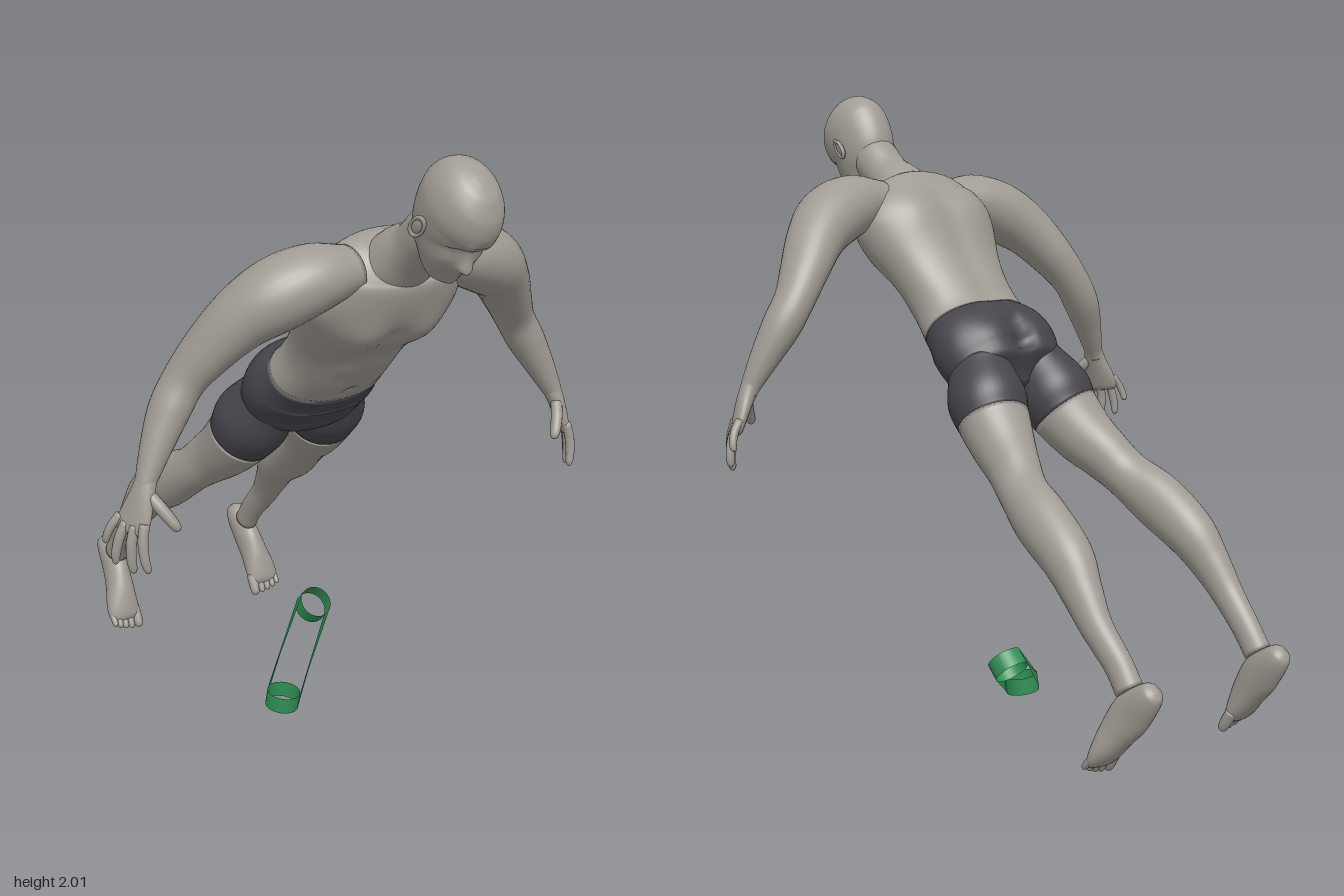
import * as THREE from 'three';

const mat = (name, color, side = THREE.FrontSide) => {
  const m = new THREE.MeshStandardMaterial({ color, side });
  m.name = name;
  return m;
};
const V = (x, y, z) => new THREE.Vector3(x, y, z);

// Smooth skin over oval sections: each key is [x, y, z, half width, half depth].
// from/to pick a stretch of the curve; bumps are [x, y, z, radius, dx, dy, dz], mirrored in x.
function loft(name, keys, material, { from = 0, to = 1, seg = 36, rad = 32, ref = V(1, 0, 0), pow = 1, bumps = [] } = {}) {
  const path = new THREE.CatmullRomCurve3(keys.map(k => V(k[0], k[1], k[2])), false, 'catmullrom', 0.5);
  const size = new THREE.SplineCurve(keys.map(k => new THREE.Vector2(k[3], k[4])));
  const all = bumps.flatMap(b => b[0] ? [b, [-b[0], b[1], b[2], b[3], -b[4], b[5], b[6]]] : [b]);
  const pos = [], idx = [];
  const se = v => Math.sign(v) * Math.pow(Math.abs(v), pow);
  const put = p => {
    const q = p.clone();
    for (const b of all) {
      const d = (p.x - b[0]) ** 2 + (p.y - b[1]) ** 2 + (p.z - b[2]) ** 2;
      q.addScaledVector(V(b[4], b[5], b[6]), Math.exp(-d / (b[3] * b[3])));
    }
    pos.push(q.x, q.y, q.z);
  };
  for (let j = 0; j <= seg; j++) {
    const t = from + (to - from) * j / seg;
    const c = path.getPoint(t), tan = path.getTangent(t), r = size.getPoint(t);
    const side = ref.clone().addScaledVector(tan, -ref.dot(tan)).normalize();
    const nor = side.clone().cross(tan);
    for (let i = 0; i < rad; i++) {
      const a = i / rad * Math.PI * 2;
      put(c.clone().addScaledVector(side, r.x * se(Math.cos(a))).addScaledVector(nor, r.y * se(Math.sin(a))));
    }
  }
  for (let j = 0; j < seg; j++) for (let i = 0; i < rad; i++) {
    const a = j * rad + i, b = j * rad + (i + 1) % rad;
    idx.push(a, a + rad, b, b, a + rad, b + rad);
  }
  // end caps
  const n = (seg + 1) * rad;
  put(path.getPoint(from));
  put(path.getPoint(to));
  for (let i = 0; i < rad; i++) {
    const k = (i + 1) % rad;
    idx.push(n, i, k, n + 1, seg * rad + k, seg * rad + i);
  }
  const g = new THREE.BufferGeometry();
  g.setAttribute('position', new THREE.Float32BufferAttribute(pos, 3));
  g.setIndex(idx);
  g.computeVertexNormals();
  const mesh = new THREE.Mesh(g, material);
  mesh.name = name;
  return mesh;
}

// Finger or toe: a bent tapered rod with a rounded tip
function digit(name, a, b, r, material, bend = V(0, 0, 0)) {
  const p = t => V(...a).lerp(V(...b), t).addScaledVector(bend, Math.sin(t * Math.PI));
  const keys = [[0, 1], [0.35, 1], [0.7, 0.92], [0.9, 0.75], [0.98, 0.4], [1, 0.08]].map(([t, s]) => [...p(t).toArray(), r * s, r * s]);
  return loft(name, keys, material, { seg: 18, rad: 12, ref: V(0.6, 0, -0.8) });
}

export function createModel() {
  const model = new THREE.Group();
  model.name = 'leaningFigure';
  const skin = mat('skin grey', 0xa09b93);
  const cloth = mat('shorts charcoal', 0x47454c);
  const green = mat('band green', 0x2f8f55, THREE.DoubleSide);

  // Torso, built upright and then leaned forward
  const trunk = new THREE.Group();
  trunk.name = 'trunk';
  trunk.position.y = 1.1;
  trunk.rotation.x = 0.7217;
  model.add(trunk);
  const torso = [
    [0, -0.06, 0, 0.05, 0.04], [0, 0, 0.005, 0.19, 0.12], [0, 0.06, 0.003, 0.228, 0.128],
    [0, 0.137, 0.003, 0.23, 0.136], [0, 0.22, 0.025, 0.205, 0.118], [0, 0.32, 0.03, 0.19, 0.122],
    [0, 0.437, 0.026, 0.208, 0.122], [0, 0.57, 0.022, 0.25, 0.143], [0, 0.65, 0.018, 0.265, 0.143],
    [0, 0.72, 0.01, 0.24, 0.132], [0, 0.77, 0, 0.19, 0.108], [0, 0.81, 0, 0.1, 0.07]];
  const bumps = [
    [0.11, 0.6, 0.15, 0.08, 0, 0, 0.024], [0, 0.6, 0.165, 0.035, 0, 0, -0.012],
    [0, 0.27, 0.145, 0.016, 0, 0, -0.012], [0.06, 0.4, 0.14, 0.045, 0, 0, 0.008],
    [0.06, 0.3, 0.14, 0.045, 0, 0, 0.006], [0.13, 0.62, -0.12, 0.08, 0, 0, -0.014],
    [0.1, 0.07, -0.12, 0.08, 0, 0, -0.018], [0, 0.05, -0.13, 0.035, 0, 0, 0.035], [0, 0.12, -0.13, 0.03, 0, 0, 0.022]];
  for (let s = 0.25; s < 0.7; s += 0.06) bumps.push([0, s, -0.11, 0.04, 0, 0, 0.009]);
  const waist = 4 / 11;
  trunk.add(loft('torso', torso, skin, { from: waist, seg: 60, rad: 64, pow: 0.9, bumps }));
  trunk.add(loft('shortsHips', torso, cloth, { to: waist, seg: 36, rad: 64, pow: 0.9, bumps }));

  // Neck
  model.add(loft('neck', [
    [0, 1.6, 0.46, 0.15, 0.1], [0, 1.69, 0.56, 0.105, 0.09], [0, 1.735, 0.63, 0.082, 0.077],
    [0, 1.79, 0.7, 0.08, 0.08], [0, 1.85, 0.77, 0.07, 0.07]], skin));

  // Head, tipped forward, with a sculpted face
  const head = new THREE.Group();
  head.name = 'head';
  head.position.set(0, 1.85, 0.805);
  head.rotation.x = Math.PI / 4;
  model.add(head);
  head.add(loft('skull', [
    [0, -0.178, 0.085, 0.006, 0.006], [0, -0.168, 0.08, 0.04, 0.04], [0, -0.135, 0.058, 0.068, 0.07],
    [0, -0.095, 0.035, 0.086, 0.092], [0, -0.05, 0.003, 0.098, 0.122], [0, 0, -0.012, 0.105, 0.135],
    [0, 0.05, -0.016, 0.105, 0.138], [0, 0.1, -0.018, 0.088, 0.115], [0, 0.135, -0.018, 0.056, 0.072],
    [0, 0.149, -0.018, 0.02, 0.026], [0, 0.151, -0.018, 0.003, 0.004]], skin, {
    seg: 80, rad: 80, bumps: [
      [0, -0.062, 0.128, 0.02, 0, -0.004, 0.038], [0, -0.03, 0.128, 0.017, 0, 0, 0.018], [0.016, -0.066, 0.125, 0.011, 0.004, 0, 0.012],
      [0.04, -0.012, 0.115, 0.02, 0, 0, -0.014], [0.038, -0.012, 0.11, 0.011, 0, 0, 0.009],
      [0.035, 0.018, 0.115, 0.022, 0, 0, 0.007], [0, -0.1, 0.13, 0.018, 0, 0, 0.011],
      [0, -0.118, 0.13, 0.014, 0, 0, 0.007], [0, -0.15, 0.125, 0.024, 0, 0, 0.01], [0.06, -0.05, 0.09, 0.03, 0.004, 0, 0.004]]
  }));
  for (const s of [1, -1]) {
    const ear = new THREE.Group();
    ear.name = s > 0 ? 'leftEar' : 'rightEar';
    const lobe = new THREE.Mesh(new THREE.SphereGeometry(1, 20, 14), skin);
    lobe.name = 'earBody';
    lobe.scale.set(0.01, 0.034, 0.022);
    const rim = new THREE.Mesh(new THREE.TorusGeometry(0.024, 0.006, 8, 24), skin);
    rim.name = 'earRim';
    rim.rotation.y = Math.PI / 2;
    rim.scale.set(0.85, 1.4, 1);
    rim.position.x = s * 0.006;
    ear.add(lobe, rim);
    ear.position.set(s * 0.105, -0.04, -0.012);
    ear.rotation.y = s * -0.3;
    head.add(ear);
  }

  // Limbs, mirrored
  for (const s of [1, -1]) {
    const label = s > 0 ? 'left' : 'right';
    const flip = keys => keys.map(([x, ...rest]) => [s * x, ...rest]);
    const pt = (x, y, z) => [s * x, y, z];

    model.add(loft(label + 'Arm', flip([
      [0.14, 1.655, 0.49, 0.09, 0.07], [0.26, 1.645, 0.49, 0.112, 0.098], [0.37, 1.605, 0.465, 0.115, 0.105],
      [0.46, 1.54, 0.42, 0.1, 0.09], [0.54, 1.445, 0.37, 0.085, 0.073], [0.6, 1.36, 0.34, 0.07, 0.062],
      [0.65, 1.28, 0.34, 0.066, 0.06], [0.7, 1.19, 0.355, 0.05, 0.048], [0.745, 1.1, 0.372, 0.034, 0.032],
      [0.757, 1.07, 0.376, 0.032, 0.026]]), skin, { seg: 54, ref: V(0, 0, 1) }));

    // Hand
    const hand = new THREE.Group();
    hand.name = label + 'Hand';
    hand.add(loft('palm', flip([
      [0.738, 1.12, 0.37, 0.03, 0.03], [0.762, 1.06, 0.378, 0.04, 0.027], [0.785, 1.0, 0.378, 0.054, 0.022],
      [0.8, 0.96, 0.376, 0.056, 0.017], [0.804, 0.945, 0.376, 0.04, 0.009]]), skin, { ref: V(s * 0.4, 0.1, -0.9), seg: 24 }));
    const out = V(s * 0.012, 0, 0);
    hand.add(
      digit('indexFinger', pt(0.778, 0.985, 0.417), pt(0.78, 0.84, 0.44), 0.0155, skin, out),
      digit('middleFinger', pt(0.795, 0.975, 0.39), pt(0.805, 0.83, 0.395), 0.016, skin, out),
      digit('ringFinger', pt(0.808, 0.98, 0.362), pt(0.84, 0.85, 0.35), 0.015, skin, out),
      digit('littleFinger', pt(0.815, 0.995, 0.337), pt(0.852, 0.905, 0.312), 0.013, skin, out),
      digit('thumb', pt(0.75, 1.06, 0.395), pt(0.69, 0.96, 0.46), 0.019, skin, V(0, 0, 0.008)));
    model.add(hand);

    // Leg: covered thigh above, bare below
    const leg = flip([
      [0.115, 1.13, 0.02, 0.1, 0.105], [0.142, 1.04, -0.05, 0.127, 0.125], [0.155, 0.975, -0.1, 0.118, 0.112],
      [0.175, 0.905, -0.17, 0.1, 0.1], [0.198, 0.85, -0.24, 0.083, 0.088], [0.225, 0.79, -0.315, 0.078, 0.078],
      [0.25, 0.72, -0.425, 0.08, 0.092], [0.265, 0.635, -0.55, 0.076, 0.083], [0.278, 0.55, -0.625, 0.06, 0.066],
      [0.285, 0.46, -0.695, 0.046, 0.052], [0.28, 0.37, -0.775, 0.04, 0.046], [0.28, 0.3, -0.825, 0.04, 0.045]]);
    const hem = 2 / 11;
    model.add(loft(label + 'ShortsLeg', leg, cloth, { to: hem, seg: 16, rad: 40 }));
    model.add(loft(label + 'Leg', leg, skin, { from: hem, seg: 60, rad: 40 }));

    // Foot
    const foot = new THREE.Group();
    foot.name = label + 'Foot';
    foot.add(loft('sole', flip([
      [0.28, 0.325, -0.925, 0.012, 0.012], [0.28, 0.315, -0.915, 0.032, 0.034], [0.28, 0.285, -0.885, 0.041, 0.05],
      [0.283, 0.235, -0.835, 0.044, 0.064], [0.29, 0.175, -0.79, 0.05, 0.055], [0.298, 0.115, -0.755, 0.06, 0.04],
      [0.3, 0.08, -0.735, 0.058, 0.026], [0.3, 0.065, -0.727, 0.045, 0.014]]), skin));
    [[0.252, 0.03, 0.019], [0.282, 0.033, 0.014], [0.306, 0.038, 0.0135], [0.328, 0.046, 0.013], [0.348, 0.056, 0.012]].forEach(([x, y, r], i) =>
      foot.add(digit('toe' + (i + 1), pt(x * 0.95 + 0.015, 0.1, -0.748), pt(x, y, -0.708), r, skin)));
    model.add(foot);
  }

  // Exercise band: two cuffs joined by a pair of straps
  const band = new THREE.Group();
  band.name = 'exerciseBand';
  const R = 0.056, H = 0.056, across = V(0.72, -0.26, 0.63);
  const cuffs = [[V(-0.09, 0.04, 0.04), V(0.1, 0.98, 0.1)], [V(0.19, 0.215, -0.205), V(0, 0.72, 0.7)]].map(([c, axis]) => {
    axis.normalize();
    const ring = new THREE.Mesh(new THREE.CylinderGeometry(R, R, H, 32, 1, true), green);
    ring.name = 'cuff';
    ring.position.copy(c);
    ring.quaternion.setFromUnitVectors(V(0, 1, 0), axis);
    band.add(ring);
    const e = across.clone().addScaledVector(axis, -across.dot(axis)).normalize();
    return { c, axis, e };
  });
  for (const s of [1, -1]) {
    const corners = cuffs.flatMap(({ c, axis, e }) => [-1, 1].map(h =>
      c.clone().addScaledVector(e, s * R).addScaledVector(axis, h * H * 0.45)));
    const g = new THREE.BufferGeometry().setFromPoints(corners);
    g.setIndex([0, 2, 1, 1, 2, 3]);
    g.computeVertexNormals();
    const strap = new THREE.Mesh(g, green);
    strap.name = 'strap';
    band.add(strap);
  }
  model.add(band);
  return model;
}
